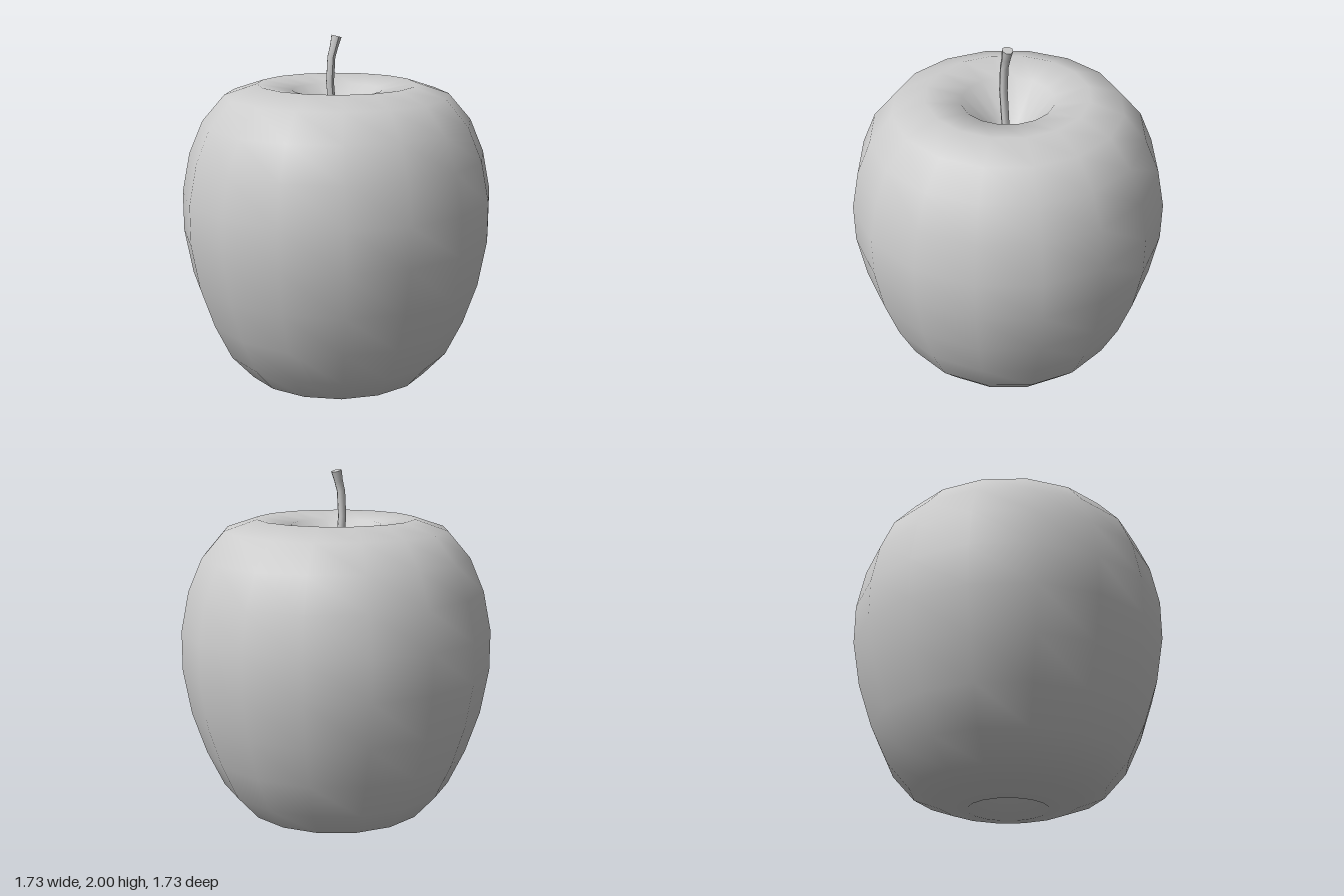
import * as THREE from 'three';

const material = new THREE.MeshStandardMaterial({ color: 0xcccccc });

// Body: 16-sided lathe with a deep dimple on top and a shallow one below
function createBody() {
  const profile = [
    [0, 0.14], [0.1, 0.08], [0.22, 0.005], [0.37, 0.03], [0.525, 0.09],
    [0.65, 0.23], [0.745, 0.43], [0.822, 0.66], [0.866, 0.91], [0.866, 1.13],
    [0.822, 1.35], [0.745, 1.53], [0.62, 1.675], [0.44, 1.735],
    [0.25, 1.7], [0.11, 1.53], [0, 1.42],
  ].map(([r, y]) => new THREE.Vector2(r, y));
  const mesh = new THREE.Mesh(new THREE.LatheGeometry(profile, 16), material);
  mesh.name = 'fruitBody';
  return mesh;
}

// Stem: a cylinder bent along a short spine, flaring at its tilted tip
function createStem() {
  // x, y, radius, tilt of the ring
  const spine = [
    [0.0, 1.4, 0.022, 0.12], [-0.025, 1.56, 0.022, 0.12], [-0.042, 1.74, 0.023, 0],
    [-0.034, 1.88, 0.023, -0.12], [-0.018, 1.935, 0.024, -0.25], [-0.003, 1.992, 0.03, -0.27],
  ];
  const last = spine.length - 1;
  const geometry = new THREE.CylinderGeometry(1, 1, 1, 8, last);
  const pos = geometry.attributes.position;
  for (let i = 0; i < pos.count; i++) {
    const [x, y, r, tilt] = spine[Math.round((pos.getY(i) + 0.5) * last)];
    const across = pos.getX(i) * r;
    pos.setXYZ(i, x + across * Math.cos(tilt), y + across * Math.sin(tilt), pos.getZ(i) * r);
  }
  geometry.computeVertexNormals();
  const mesh = new THREE.Mesh(geometry, material);
  mesh.name = 'stem';
  return mesh;
}

export function createModel() {
  const group = new THREE.Group();
  group.name = 'apple';
  group.add(createBody(), createStem());
  return group;
}
